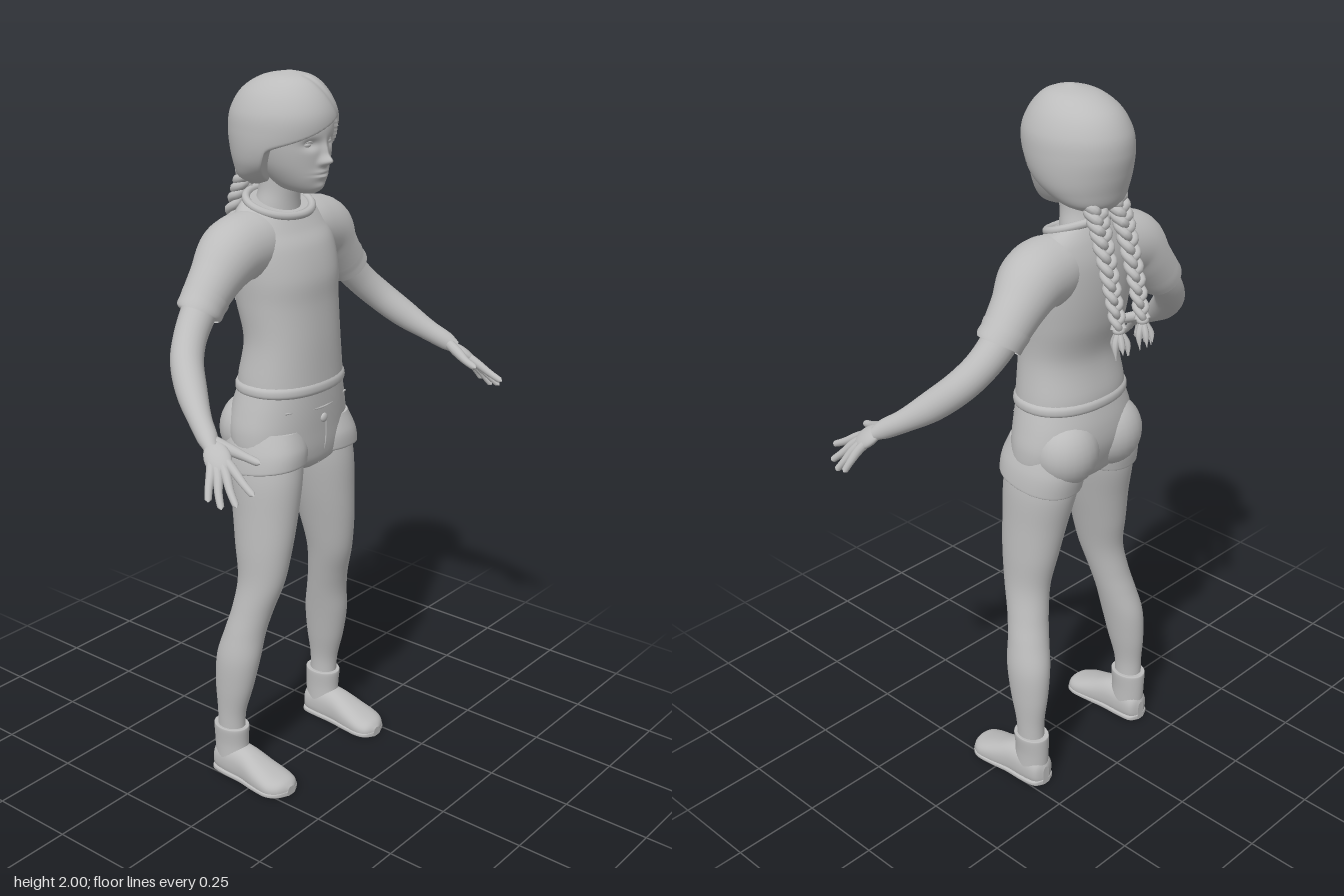
import * as THREE from 'three';

const grey = new THREE.MeshStandardMaterial({ color: 0xbcbcbc });
grey.name = 'clay grey';

const smooth = (v, a, b) => THREE.MathUtils.smoothstep(v, a, b);
const bump = (dx, dy, w, h) => Math.exp(-((dx / w) ** 2) - (dy / h) ** 2);

// Smooth value of one column of a table at t in 0..1
function column(rows, k, t) {
  const f = t * (rows.length - 1), i = Math.min(Math.floor(f), rows.length - 2), u = f - i;
  const v = (n) => rows[Math.max(0, Math.min(rows.length - 1, n))][k] || 0;
  const [a, b, c, d] = [v(i - 1), v(i), v(i + 1), v(i + 2)];
  return b + 0.5 * u * (c - a + u * (2 * a - 5 * b + 4 * c - d + u * (3 * (b - c) + d - a)));
}

// Closed skin over rows of [y, centre x, centre z, radius x, radius z, tilt]
function loft(rows, { rings = 32, seg = 40, power = 2, rule } = {}) {
  const pos = [], idx = [];
  const curve = (c) => Math.sign(c) * Math.abs(c) ** (2 / power);
  for (let i = 0; i <= rings; i++) {
    const [y, cx, cz, rx, rz, tilt] = [0, 1, 2, 3, 4, 5].map((k) => column(rows, k, i / rings));
    for (let j = 0; j < seg; j++) {
      const a = (j / seg) * Math.PI * 2, dz = rz * curve(Math.sin(a));
      let p = [cx + rx * curve(Math.cos(a)), y + tilt * dz, cz + dz];
      if (rule) p = rule(...p);
      pos.push(...p);
      if (i < rings) {
        const p0 = i * seg + j, p1 = i * seg + (j + 1) % seg;
        idx.push(p0, p0 + seg, p1, p1, p0 + seg, p1 + seg);
      }
    }
  }
  // end caps with their own corners
  for (const top of [false, true]) {
    const start = (top ? rings : 0) * seg, base = pos.length / 3, mid = [0, 0, 0];
    for (let j = 0; j < seg; j++) for (let k = 0; k < 3; k++) {
      const v = pos[(start + j) * 3 + k];
      pos.push(v);
      mid[k] += v / seg;
    }
    pos.push(...mid);
    for (let j = 0; j < seg; j++) {
      const n = base + (j + 1) % seg;
      idx.push(base + seg, top ? n : base + j, top ? base + j : n);
    }
  }
  const g = new THREE.BufferGeometry();
  g.setAttribute('position', new THREE.Float32BufferAttribute(pos, 3));
  g.setIndex(idx);
  g.computeVertexNormals();
  return g;
}

// Tube through [x, y, z, radius] points; s mirrors it to the other side
function limb(points, s = 1, steps = 28, sides = 20) {
  const curve = new THREE.CatmullRomCurve3(points.map((p) => new THREE.Vector3(p[0] * s, p[1], p[2])));
  const g = new THREE.TubeGeometry(curve, steps, 1, sides, false);
  const pos = g.attributes.position, nor = g.attributes.normal;
  for (let i = 0; i <= steps; i++) {
    const c = curve.getPointAt(i / steps), r = column(points, 3, curve.getUtoTmapping(i / steps));
    for (let j = 0; j <= sides; j++) {
      const n = i * (sides + 1) + j;
      pos.setXYZ(n, c.x + nor.getX(n) * r, c.y + nor.getY(n) * r, c.z + nor.getZ(n) * r);
    }
  }
  return g;
}

export function createModel() {
  const model = new THREE.Group();
  model.name = 'standing child';
  const add = (name, geometry) => {
    const m = new THREE.Mesh(geometry, grey);
    m.name = name;
    model.add(m);
    return m;
  };
  const ball = (name, [x, y, z], [rx, ry, rz]) =>
    add(name, new THREE.SphereGeometry(1, 24, 16).scale(rx, ry, rz).translate(x, y, z));

  // Shirt body, hem and collar
  add('shirt', loft([
    [1.165, 0, -0.052, 0.165, 0.12], [1.2, 0, -0.052, 0.162, 0.119], [1.3, 0, -0.046, 0.15, 0.109],
    [1.4, 0, -0.062, 0.156, 0.117], [1.48, 0, -0.07, 0.163, 0.121, -0.05], [1.56, 0, -0.082, 0.165, 0.11, -0.1],
    [1.61, 0, -0.09, 0.155, 0.09, -0.2], [1.645, 0, -0.092, 0.125, 0.073, -0.3], [1.66, 0, -0.093, 0.09, 0.065, -0.35],
  ], { power: 2.2, seg: 56, rings: 48 }));
  add('shirtHem', loft([[1.153, 0, -0.053, 0.16, 0.116], [1.162, 0, -0.053, 0.17, 0.125],
    [1.178, 0, -0.053, 0.17, 0.125], [1.188, 0, -0.052, 0.162, 0.118]], { power: 2.2, rings: 12 }));
  const collar = [];
  for (let i = 0; i < 24; i++) {
    const a = (i / 24) * Math.PI * 2;
    collar.push(new THREE.Vector3(0.103 * Math.cos(a), 1.656 - 0.027 * Math.sin(a), -0.09 + 0.075 * Math.sin(a)));
  }
  add('collar', new THREE.TubeGeometry(new THREE.CatmullRomCurve3(collar, true), 64, 0.011, 10, true));

  // Shorts with seat, fly and button
  add('shorts', loft([
    [0.925, 0, -0.04, 0.05, 0.06], [0.95, 0, -0.05, 0.15, 0.1], [0.99, 0, -0.055, 0.19, 0.115],
    [1.05, 0, -0.062, 0.195, 0.125], [1.11, 0, -0.06, 0.182, 0.125], [1.175, 0, -0.052, 0.162, 0.117],
  ], { power: 2.2, seg: 48 }));
  ball('button', [0, 1.08, 0.065], [0.013, 0.013, 0.007]);
  add('waistSeam', limb([[-0.13, 1.118, 0.036, 0.003], [0, 1.112, 0.065, 0.003], [0.13, 1.118, 0.036, 0.003]], 1, 20, 6));
  add('fly', limb([[0.012, 1.07, 0.063, 0.003], [0.012, 1.0, 0.06, 0.003], [0, 0.945, 0.045, 0.003]], 1, 16, 6));

  // Neck and face
  add('neck', loft([[1.58, 0, -0.095, 0.075, 0.06], [1.65, 0, -0.095, 0.066, 0.058],
    [1.7, 0, -0.088, 0.057, 0.055], [1.78, 0, -0.08, 0.058, 0.058]]));
  add('face', loft([
    [1.692, 0, 0.0, 0.02, 0.03], [1.704, 0, -0.018, 0.045, 0.063], [1.73, 0, -0.03, 0.067, 0.086],
    [1.77, 0, -0.04, 0.088, 0.1], [1.82, 0, -0.045, 0.101, 0.109], [1.87, 0, -0.05, 0.105, 0.115],
    [1.93, 0, -0.06, 0.09, 0.1],
  ], {
    rings: 70, seg: 110, rule: (x, y, z) => {
      if (z < 0) return [x, y, z];
      const ax = Math.abs(x);
      z += 0.024 * bump(x, y - 1.781, 0.013, 0.013) + 0.012 * bump(x, y - 1.803, 0.009, 0.024); // nose
      z += 0.006 * bump(ax - 0.013, y - 1.777, 0.008, 0.008); // nostrils
      z -= 0.011 * bump(ax - 0.04, y - 1.825, 0.021, 0.013); // eye sockets
      z += 0.009 * bump(x, y - 1.745, 0.026, 0.013) - 0.007 * bump(x, y - 1.746, 0.026, 0.003); // lips
      z += 0.006 * bump(x, y - 1.712, 0.02, 0.012); // chin
      return [x, y, z];
    },
  }));

  // Swept fringe and cap of hair, opened around the face
  add('hair', loft([
    [1.705, 0, -0.135, 0.05, 0.045], [1.725, 0, -0.125, 0.09, 0.075], [1.76, 0, -0.098, 0.116, 0.113],
    [1.8, 0, -0.083, 0.128, 0.138], [1.85, 0, -0.076, 0.131, 0.152], [1.9, 0, -0.072, 0.125, 0.149],
    [1.95, 0, -0.068, 0.1, 0.121], [1.985, 0, -0.058, 0.06, 0.072], [2.0, 0, -0.05, 0.004, 0.004],
  ], {
    rings: 80, seg: 120, rule: (x, y, z) => {
      const line = 1.872 + 0.42 * x - 2.5 * Math.max(0, x - 0.05);
      const edge = -0.015 - 0.5 * (1.85 - y);
      z -= smooth(line - y, 0, 0.022) * Math.max(0, z - edge);
      // parting groove
      const d = x - 0.05 + 0.6 * (y - 1.9);
      if (z > 0 && y > line) z -= 0.006 * bump(d, 0, 0.009, 1);
      return [x, y, z];
    },
  }));

  for (const s of [1, -1]) {
    const side = s > 0 ? 'left ' : 'right ';
    const R = (rows) => rows.map(([y, cx, ...rest]) => [y, cx * s, ...rest]);

    // Eyes with upper lids and brows
    ball(side + 'eye', [0.04 * s, 1.824, 0.036], [0.016, 0.009, 0.012]);
    add(side + 'eyelid', limb([[0.021, 1.823, 0.047, 0.002], [0.04, 1.833, 0.047, 0.004], [0.061, 1.824, 0.033, 0.002]], s, 14, 8));
    add(side + 'brow', limb([[0.018, 1.842, 0.06, 0.001], [0.04, 1.85, 0.053, 0.004], [0.066, 1.844, 0.035, 0.001]], s, 14, 8));

    // Sleeve and cuff
    add(side + 'sleeve', limb([
      [0.06, 1.56, -0.09, 0.07], [0.13, 1.56, -0.093, 0.09], [0.19, 1.545, -0.096, 0.088],
      [0.245, 1.493, -0.1, 0.07], [0.305, 1.425, -0.1, 0.056], [0.307, 1.422, -0.099, 0.035],
    ], s, 40, 28));
    add(side + 'cuff', limb([
      [0.276, 1.458, -0.1, 0.055], [0.281, 1.452, -0.1, 0.064], [0.296, 1.435, -0.1, 0.062],
      [0.312, 1.417, -0.098, 0.06], [0.314, 1.414, -0.098, 0.04],
    ], s, 24, 28));

    // Arm, palm and fingers
    add(side + 'arm', limb([
      [0.24, 1.5, -0.105, 0.046], [0.305, 1.425, -0.1, 0.047], [0.36, 1.366, -0.085, 0.044], [0.405, 1.318, -0.056, 0.043],
      [0.45, 1.262, 0.0, 0.04], [0.49, 1.212, 0.065, 0.03], [0.515, 1.182, 0.112, 0.026], [0.528, 1.165, 0.135, 0.018],
    ], s, 48, 24));
    const palm = ball(side + 'palm', [0, 0, 0], [0.034, 0.017, 0.05]);
    palm.position.set(0.533 * s, 1.148, 0.16);
    palm.rotation.set(0.62, 0.42 * s, -0.5 * s, 'YXZ');
    [
      ['index', [0.53, 1.135, 0.2], [0.54, 1.105, 0.25], [0.546, 1.088, 0.284]],
      ['middle', [0.546, 1.125, 0.195], [0.566, 1.088, 0.23], [0.577, 1.063, 0.257]],
      ['ring', [0.557, 1.119, 0.181], [0.58, 1.08, 0.204], [0.592, 1.053, 0.222]],
      ['little', [0.561, 1.122, 0.163], [0.583, 1.09, 0.175], [0.597, 1.064, 0.185]],
    ].forEach(([name, knuckle, mid, tip]) => add(side + name + ' finger', limb([
      [0.518, 1.172, 0.125, 0.012], [...knuckle, 0.0125], [...mid, 0.01], [...tip, 0.008],
      [...tip.map((v, i) => v + (v - mid[i]) * 0.12), 0.001],
    ], s, 24, 12)));
    add(side + 'thumb', limb([[0.51, 1.178, 0.125, 0.015], [0.497, 1.162, 0.165, 0.015],
      [0.482, 1.147, 0.205, 0.011], [0.474, 1.138, 0.238, 0.009], [0.472, 1.136, 0.244, 0.001]], s, 24, 12));

    // Seat and short trouser leg, hem higher in front
    ball(side + 'seat', [0.087 * s, 1.04, -0.118], [0.095, 0.1, 0.088]);
    add(side + 'shortsLeg', loft(R([
      [0.945, 0.113, -0.05, 0.094, 0.116, 0.15], [0.953, 0.112, -0.05, 0.098, 0.12, 0.15],
      [1.0, 0.106, -0.055, 0.096, 0.123, 0.08], [1.06, 0.1, -0.06, 0.08, 0.11],
    ]), { power: 2.2 }));

    // Leg
    add(side + 'leg', loft(R([
      [0.12, 0.212, -0.102, 0.036, 0.043], [0.2, 0.213, -0.1, 0.036, 0.044], [0.29, 0.208, -0.092, 0.046, 0.06],
      [0.38, 0.2, -0.082, 0.054, 0.068], [0.46, 0.185, -0.068, 0.055, 0.062], [0.53, 0.17, -0.052, 0.055, 0.062],
      [0.62, 0.153, -0.034, 0.058, 0.072], [0.72, 0.14, -0.035, 0.069, 0.088], [0.82, 0.126, -0.04, 0.08, 0.1],
      [0.92, 0.114, -0.049, 0.09, 0.112], [1.0, 0.103, -0.055, 0.09, 0.11],
    ]), { rings: 60 }));

    // Shoe: foot and sole share one outline, plus an ankle collar
    const foot = [
      [-0.16, 0.21, -0.035, 0.012, 0.025], [-0.145, 0.21, -0.04, 0.036, 0.045], [-0.1, 0.211, -0.042, 0.043, 0.056],
      [-0.04, 0.211, -0.04, 0.045, 0.055], [0.02, 0.212, -0.028, 0.053, 0.044], [0.07, 0.211, -0.02, 0.056, 0.033],
      [0.1, 0.207, -0.016, 0.042, 0.026], [0.115, 0.204, -0.015, 0.014, 0.012],
    ];
    add(side + 'shoe', loft(R(foot), { power: 2.3, rule: (x, y, z) => [x, y, Math.min(z, -0.004)] }).rotateX(Math.PI / 2));
    add(side + 'sole', loft(R(foot.map(([y, x, z, rx]) => [y, x, -0.009, rx + 0.003, 0.009])),
      { power: 4 }).rotateX(Math.PI / 2));
    add(side + 'ankleCollar', loft(R([
      [0.04, 0.211, -0.1, 0.042, 0.056], [0.1, 0.211, -0.104, 0.041, 0.054], [0.15, 0.212, -0.103, 0.044, 0.056],
      [0.158, 0.212, -0.103, 0.042, 0.054],
    ])));

    // Braid: three woven strands, a tie and a frayed tail
    const spine = new THREE.CatmullRomCurve3([[0.04, 1.745, -0.16], [0.044, 1.66, -0.195],
      [0.046, 1.54, -0.232], [0.046, 1.42, -0.262]].map(([x, y, z]) => new THREE.Vector3(x * s, y, z)));
    for (let k = 0; k < 3; k++) {
      const strand = [];
      for (let i = 0; i <= 44; i++) {
        const u = i / 44, p = spine.getPoint(u), a = u * Math.PI * 7 + (k * Math.PI * 2) / 3, w = 1 - 0.35 * u;
        strand.push([p.x + 0.019 * w * Math.sin(a), p.y, p.z + 0.013 * w * Math.sin(2 * a), 0.0145 * w]);
      }
      add(side + 'braidStrand', limb(strand, 1, 90, 10));
    }
    ball(side + 'braidTie', [0.046 * s, 1.418, -0.262], [0.017, 0.012, 0.016]);
    for (let k = 0; k < 6; k++) {
      const a = k * 1.05, dx = 0.02 * Math.cos(a), dz = 0.016 * Math.sin(a);
      add(side + 'braidTail', limb([[0.046, 1.42, -0.262, 0.008], [0.046 + dx, 1.385, -0.268 + dz, 0.009],
        [0.046 + dx * 1.1, 1.345 + 0.008 * (k % 3), -0.274 + dz, 0.001]], s, 12, 8));
    }
  }
  return model;
}
